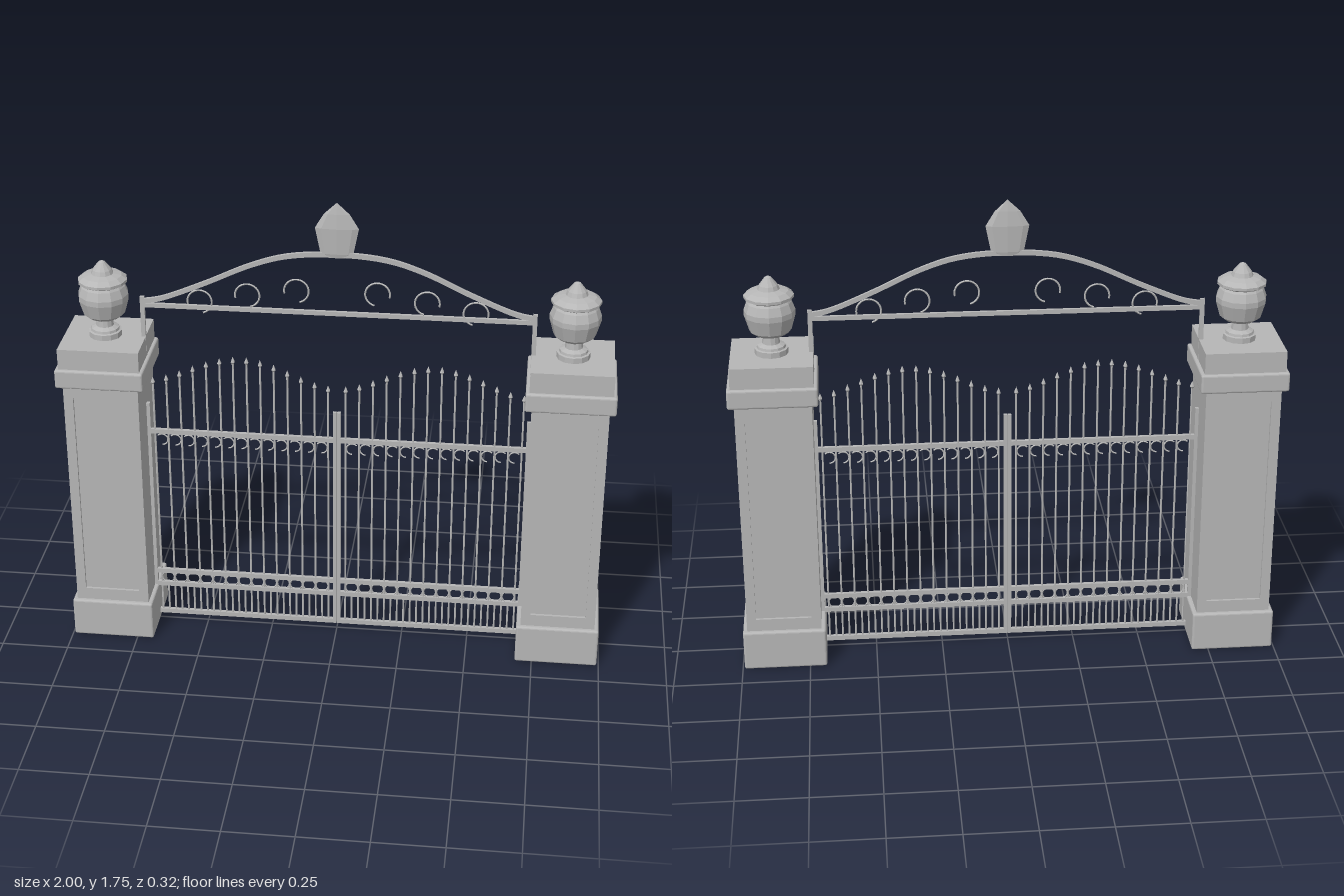
import * as THREE from 'three';
import { RoundedBoxGeometry } from 'three/addons/geometries/RoundedBoxGeometry.js';

export function createModel() {
  const model = new THREE.Group();
  model.name = 'gateway';
  const grey = new THREE.MeshStandardMaterial({ color: 0xb6b6b6, flatShading: true });
  grey.name = 'grey';

  const add = (parent, name, geometry, x = 0, y = 0, z = 0) => {
    const mesh = new THREE.Mesh(geometry, grey);
    mesh.name = name;
    mesh.position.set(x, y, z);
    parent.add(mesh);
    return mesh;
  };
  // Box spanning x0..x1 and y0..y1, centred on z = 0
  const bar = (parent, name, x0, x1, y0, y1, depth) =>
    add(parent, name, new THREE.BoxGeometry(x1 - x0, y1 - y0, depth), (x0 + x1) / 2, (y0 + y1) / 2);
  const lathe = (points, sides) =>
    new THREE.LatheGeometry(points.map(([r, y]) => new THREE.Vector2(r, y)), sides);
  const group = (name) => {
    const g = new THREE.Group();
    g.name = name;
    model.add(g);
    return g;
  };
  const corners = (list) => list.map(([x, y]) => new THREE.Vector2(x, y));

  // Pillar pieces
  const W = 0.274, RECESS = 0.01, SHAFT0 = 0.15, SHAFT1 = 1.065;
  const half = W / 2, inner = half - 0.035;
  const frame = new THREE.Shape(corners([[-half, SHAFT0], [half, SHAFT0], [half, SHAFT1], [-half, SHAFT1]]));
  frame.holes.push(new THREE.Path(corners([[-inner, 0.2], [-inner, 1.01], [inner, 1.01], [inner, 0.2]])));
  const frameGeo = new THREE.ExtrudeGeometry(frame, { depth: RECESS, bevelEnabled: false });
  const urnGeo = lathe([
    [0, 1.2], [0.06, 1.2], [0.06, 1.226], [0.052, 1.228], [0.05, 1.237], [0.032, 1.245], [0.029, 1.272],
    [0.055, 1.28], [0.075, 1.295], [0.091, 1.35], [0.091, 1.37], [0.08, 1.4], [0.074, 1.408],
    [0.089, 1.416], [0.089, 1.426], [0.07, 1.44], [0.04, 1.447], [0.034, 1.462], [0.012, 1.49], [0, 1.496],
  ], 12);

  // One pillar on each side, with recessed panels front and back
  const buildPillar = (s) => {
    const p = group(s > 0 ? 'leftPillar' : 'rightPillar');
    p.position.x = s * 0.84;
    add(p, 'pillarBase', new RoundedBoxGeometry(0.306, 0.153, 0.306, 2, 0.008), 0, 0.0765);
    add(p, 'pillarShaft', new THREE.BoxGeometry(W, SHAFT1 - SHAFT0, W - 2 * RECESS), 0, (SHAFT0 + SHAFT1) / 2);
    add(p, 'frontPanelFrame', frameGeo, 0, 0, half - RECESS);
    add(p, 'backPanelFrame', frameGeo, 0, 0, -half);
    add(p, 'pillarCornice', new RoundedBoxGeometry(0.32, 0.072, 0.32, 2, 0.008), 0, 1.092);
    add(p, 'pillarCap', new THREE.BoxGeometry(0.294, 0.085, 0.294), 0, 1.163);
    add(p, 'urn', urnGeo);
  };

  // One gate leaf on each side
  const STEP = 0.0495, FIRST = 0.032, COUNT = 14;
  const spearGeo = lathe([[0.003, -0.03], [0.0085, -0.022], [0, 0]], 6);
  const ringGeo = new THREE.TorusGeometry(0.0235, 0.003, 4, 14);
  const hookGeo = new THREE.TorusGeometry(0.022, 0.003, 4, 10, Math.PI * 1.25);
  const shortGeo = new THREE.CylinderGeometry(0.004, 0.004, 0.124, 6);
  const buildLeaf = (s) => {
    const g = group(s > 0 ? 'leftGateLeaf' : 'rightGateLeaf');
    const span = (name, a, b, y0, y1) => bar(g, name, Math.min(s * a, s * b), Math.max(s * a, s * b), y0, y1, 0.014);
    span('meetingStile', 0.001, 0.014, 0.024, 0.935);
    span('hingeStile', 0.69, 0.703, 0.024, 0.935);
    for (const y of [0.033, 0.157, 0.214, 0.82]) span('gateRail', 0.005, 0.7, y - 0.009, y + 0.009);
    for (let i = 0; i < COUNT; i++) {
      const x = s * (FIRST + i * STEP);
      const wave = Math.abs(Math.sin(Math.PI * (i / (COUNT - 1))));
      const top = 1.043 + 0.098 * Math.pow(wave, 1.5);
      const h = top - 0.055;
      add(g, 'picket', new THREE.CylinderGeometry(0.004, 0.004, h, 6), x, 0.03 + h / 2);
      add(g, 'spearTip', spearGeo, x, top);
      if (i === COUNT - 1) continue;
      // Ornaments between neighbouring pickets
      const mid = x + s * STEP / 2;
      add(g, 'shortPicket', shortGeo, mid, 0.095);
      add(g, 'ring', ringGeo, mid, 0.1855);
      const hook = add(g, 'hookScroll', hookGeo, mid, 0.785);
      hook.rotation.set(0, s > 0 ? Math.PI : 0, -Math.PI * 0.5);
    }
  };

  // Overthrow arch: rail, posts, curved band, scrolls
  const arch = group('overthrow');
  bar(arch, 'archRail', -0.7, 0.7, 1.322, 1.338, 0.012);
  const curve = new THREE.SplineCurve(corners([
    [-0.7, 1.345], [-0.62, 1.362], [-0.47, 1.425], [-0.31, 1.5], [-0.17, 1.543], [0, 1.556],
    [0.17, 1.543], [0.31, 1.5], [0.47, 1.425], [0.62, 1.362], [0.7, 1.345],
  ]));
  const pts = curve.getPoints(48);
  const band = new THREE.Shape([
    ...pts.map((p) => new THREE.Vector2(p.x, p.y - 0.009)),
    ...pts.slice().reverse().map((p) => new THREE.Vector2(p.x, p.y + 0.009)),
  ]);
  add(arch, 'archBand', new THREE.ExtrudeGeometry(band, { depth: 0.012, bevelEnabled: false }), 0, 0, -0.006);
  const scrollGeo = new THREE.TorusGeometry(0.044, 0.0035, 4, 20, Math.PI * 1.5);

  for (const s of [-1, 1]) {
    buildPillar(s);
    buildLeaf(s);
    bar(arch, 'archPost', s * 0.7 - 0.008, s * 0.7 + 0.008, 1.1, 1.362, 0.012);
    for (const [x, y] of [[0.492, 1.352], [0.32, 1.384], [0.144, 1.41]]) {
      const scroll = add(arch, 'archScroll', scrollGeo, s * x, y);
      scroll.rotation.set(0, s > 0 ? Math.PI : 0, -Math.PI * 0.42);
    }
  }

  // Flattened finial at the crown
  const finial = add(arch, 'crownFinial', lathe([
    [0, 1.543], [0.04, 1.545], [0.058, 1.56], [0.077, 1.655], [0.045, 1.708], [0, 1.75],
  ], 8));
  finial.scale.z = 0.17;

  return model;
}
